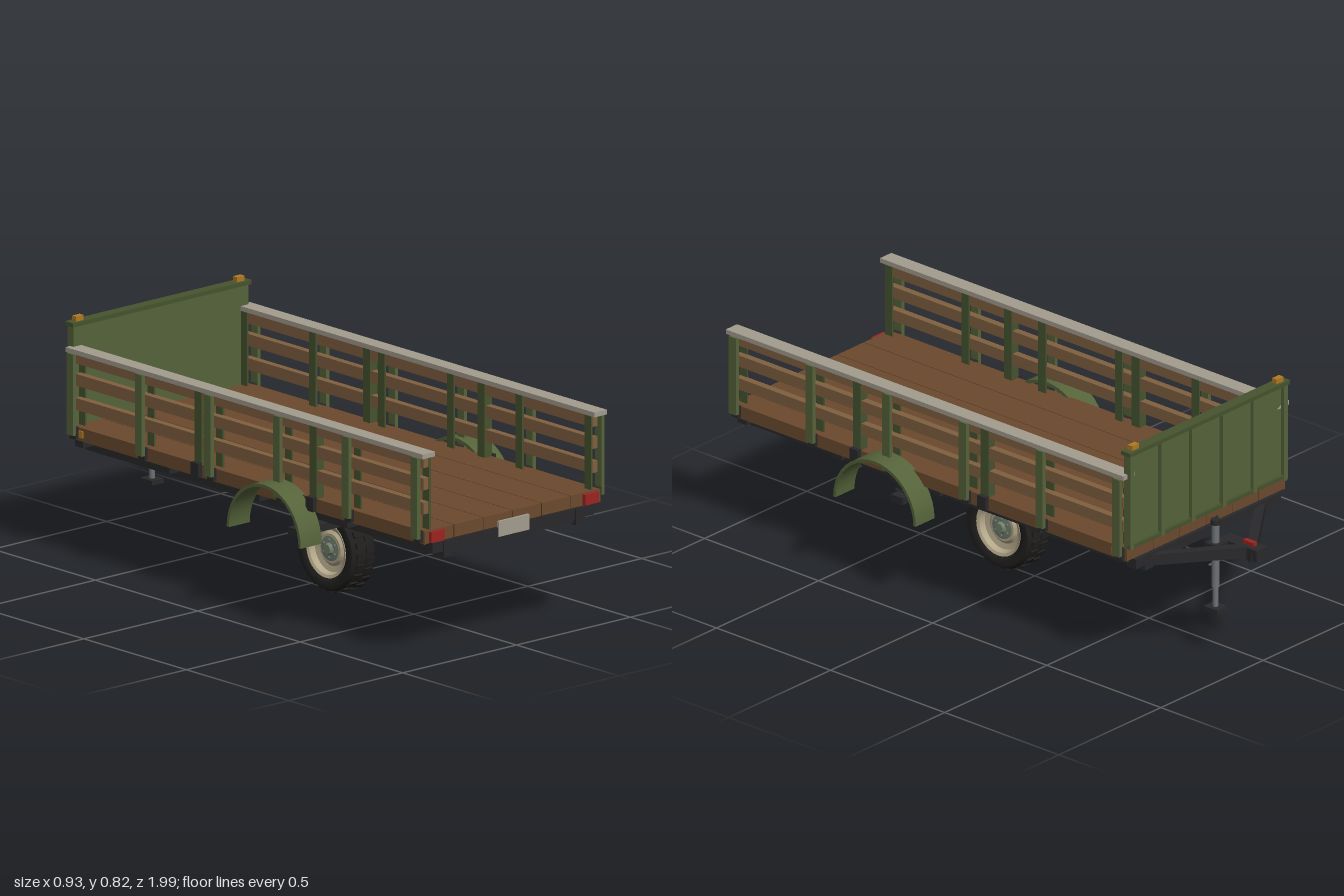
import * as THREE from 'three';
import { toCreasedNormals } from 'three/addons/utils/BufferGeometryUtils.js';

const mat = (color) => new THREE.MeshStandardMaterial({ color });
const green = mat(0x55633a), darkGreen = mat(0x46532f), wood = mat(0x6b4a2e), slatWood = mat(0x80603f);
const black = mat(0x29292b), rubber = mat(0x201f1e), capGrey = mat(0xa39d8f), cream = mat(0xb3a78a);
const red = mat(0x9c2420), amber = mat(0xb07a22), steel = mat(0x6e7276), hubGreen = mat(0x71806a), gap = mat(0x2c1f14);
const UP = new THREE.Vector3(0, 1, 0);

export function createModel() {
  const root = new THREE.Group();

  function add(name, geometry, material, x = 0, y = 0, z = 0, parent = root) {
    const mesh = new THREE.Mesh(geometry, material);
    mesh.name = name;
    mesh.position.set(x, y, z);
    parent.add(mesh);
    return mesh;
  }
  // box given by its limits on each axis
  const box = (name, m, x0, x1, y0, y1, z0, z1, parent) =>
    add(name, new THREE.BoxGeometry(Math.abs(x1 - x0), y1 - y0, z1 - z0), m,
      (x0 + x1) / 2, (y0 + y1) / 2, (z0 + z1) / 2, parent);
  // round bar or square beam between two points
  function beam(name, m, a, b, w, h = 0) {
    const p = new THREE.Vector3(...a), q = new THREE.Vector3(...b), len = p.distanceTo(q);
    const mesh = add(name, h ? new THREE.BoxGeometry(w, h, len) : new THREE.CylinderGeometry(w, w, len, 12), m);
    mesh.position.copy(p).add(q).multiplyScalar(0.5);
    if (h) mesh.lookAt(q);
    else mesh.quaternion.setFromUnitVectors(UP, q.sub(p).normalize());
    return mesh;
  }

  // Plank floor with thin dark seams
  box('floorCore', gap, -0.38, 0.38, 0.41, 0.45, -0.745, 0.978);
  for (let i = 0; i < 6; i++) {
    const x = -0.385 + i * 0.1283;
    box('floorPlank', wood, x + 0.0015, x + 0.1268, 0.412, 0.455, -0.75, 0.98);
  }
  for (const s of [-1, 1]) box('floorSideBoard', wood, s * 0.379, s * 0.386, 0.41, 0.455, -0.75, 0.98);

  // Chassis rails and cross members
  for (const s of [-1, 1]) box('chassisRail', black, s * 0.27, s * 0.31, 0.355, 0.41, -0.76, 0.99);
  for (const z of [-0.74, -0.32, 0.12, 0.55, 0.965])
    box('crossMember', black, -0.355, 0.355, 0.375, 0.41, z - 0.02, z + 0.02);
  box('rearLowerCrossMember', black, -0.27, 0.27, 0.362, 0.376, 0.945, 0.98);

  // Axle beam hung from the rails
  box('axle', black, -0.347, 0.347, 0.29, 0.315, 0.27, 0.32);
  for (const s of [-1, 1]) {
    box('axleHanger', black, s * 0.282, s * 0.305, 0.31, 0.36, 0.25, 0.335);
    box('axleClamp', black, s * 0.275, s * 0.312, 0.295, 0.318, 0.25, 0.335);
  }

  // Slatted sides
  for (const s of [-1, 1]) {
    const side = new THREE.Group();
    side.name = s > 0 ? 'leftSide' : 'rightSide';
    root.add(side);
    for (const [y0, y1] of [[0.51, 0.55], [0.592, 0.632], [0.667, 0.706]])
      box('slat', slatWood, s * 0.357, s * 0.382, y0, y1, -0.73, 0.97, side);
    box('topCap', capGrey, s * 0.35, s * 0.405, 0.706, 0.722, -0.75, 0.992, side);
    for (let i = 0; i < 6; i++) {
      const z = 0.957 - i * 0.336;
      box('outerStake', green, s * 0.398, s * 0.412, 0.43, 0.706, z - 0.016, z + 0.016, side);
      box('stakeBracket', black, s * 0.384, s * 0.4, 0.415, 0.456, z - 0.015, z + 0.015, side);
      box('innerStake', darkGreen, s * 0.352, s * 0.359, 0.455, 0.706, z - 0.016, z + 0.016, side);
    }
    for (const z of [0.435, -0.125]) {
      box('middlePost', darkGreen, s * 0.353, s * 0.386, 0.455, 0.706, z - 0.017, z + 0.017, side);
      box('postBracket', black, s * 0.384, s * 0.402, 0.413, 0.46, z - 0.018, z + 0.018, side);
    }
    box('sideReflector', amber, s * 0.385, s * 0.39, 0.422, 0.446, -0.705, -0.685, side);
  }

  // Headboard with ribs, top rail and marker lamps
  box('headboard', green, -0.385, 0.385, 0.455, 0.795, -0.75, -0.735);
  box('headboardRail', darkGreen, -0.392, 0.392, 0.79, 0.804, -0.768, -0.728);
  box('headboardSill', darkGreen, -0.385, 0.385, 0.455, 0.468, -0.762, -0.748);
  for (let i = 0; i < 6; i++) {
    const x = -0.376 + i * 0.1504;
    box('headboardRib', green, x - 0.009, x + 0.009, 0.455, 0.79, -0.764, -0.748);
  }
  for (const s of [-1, 1]) box('markerLamp', amber, s * 0.337, s * 0.37, 0.804, 0.821, -0.758, -0.738);

  // Tail lamps and plate
  for (const s of [-1, 1]) box('tailLamp', red, s * 0.308, s * 0.367, 0.415, 0.451, 0.975, 0.994);
  box('plate', capGrey, -0.068, 0.067, 0.379, 0.431, 0.98, 0.99);

  // Arched fenders
  const arch = new THREE.Shape();
  for (let i = 0; i <= 20; i++) {
    const a = Math.PI * i / 20;
    arch.lineTo(0.181 * Math.cos(a), 0.18 * Math.sin(a));
    if (i === 0) arch.curves.length = 0, arch.moveTo(0.181, 0);
  }
  for (let i = 20; i >= 0; i--) {
    const a = Math.PI * i / 20;
    arch.lineTo(0.17 * Math.cos(a), 0.169 * Math.sin(a));
  }
  const fenderGeometry = toCreasedNormals(
    new THREE.ExtrudeGeometry(arch, { depth: 0.092, bevelEnabled: false }).rotateY(Math.PI / 2).translate(-0.046, 0, 0), 0.5);
  for (const s of [-1, 1]) {
    add('fender', fenderGeometry, green, s * 0.421, 0.304, 0.285);
    box('fenderBracket', black, s * 0.3, s * 0.38, 0.385, 0.405, 0.27, 0.3);
  }

  // Central wheel, turned around the x axis
  const wheel = new THREE.Group();
  wheel.name = 'wheel';
  wheel.position.set(0, 0.15, 0.12);
  root.add(wheel);
  const lathe = (name, m, pts) => add(name, toCreasedNormals(
    new THREE.LatheGeometry(pts.map(p => new THREE.Vector2(...p)), 40).rotateZ(-Math.PI / 2), 0.6), m, 0, 0, 0, wheel);
  lathe('tyre', rubber, [[0.092, -0.04], [0.1, -0.047], [0.118, -0.052], [0.132, -0.05], [0.141, -0.036],
    [0.144, 0], [0.141, 0.036], [0.132, 0.05], [0.118, 0.052], [0.1, 0.047], [0.092, 0.04], [0.092, -0.04]]);
  lathe('rim', cream, [[0, -0.026], [0.05, -0.026], [0.06, -0.018], [0.08, -0.022], [0.086, -0.042], [0.096, -0.046],
    [0.096, 0.046], [0.086, 0.042], [0.08, 0.022], [0.06, 0.018], [0.05, 0.026], [0, 0.026]]);
  lathe('hub', hubGreen, [[0, -0.042], [0.016, -0.042], [0.02, -0.03], [0.042, -0.028], [0.042, 0.028],
    [0.02, 0.03], [0.016, 0.042], [0, 0.042]]);
  for (let i = 0; i < 24; i++) {
    const a = i * Math.PI / 12;
    for (const s of [-1, 1]) {
      const off = a + (s > 0 ? Math.PI / 24 : 0);
      const lug = add('treadBlock', new THREE.BoxGeometry(0.034, 0.012, 0.022), rubber,
        s * 0.02, 0.142 * Math.cos(off), 0.142 * Math.sin(off), wheel);
      lug.rotation.x = off;
    }
  }
  for (let i = 0; i < 6; i++) for (const s of [-1, 1]) {
    const a = i * Math.PI / 3;
    const nut = add('wheelNut', new THREE.CylinderGeometry(0.005, 0.005, 0.01, 6), steel,
      s * 0.031, 0.03 * Math.cos(a), 0.03 * Math.sin(a), wheel);
    nut.rotation.z = Math.PI / 2;
  }

  // Drawbar, coupler and safety chains
  for (const s of [-1, 1]) {
    beam('drawbarArm', black, [s * 0.272, 0.382, -0.745], [s * 0.008, 0.382, -0.945], 0.032, 0.038);
    beam('safetyChain', steel, [s * 0.02, 0.365, -0.895], [s * 0.045, 0.3, -0.805], 0.004);
  }
  box('coupler', black, -0.027, 0.027, 0.36, 0.4, -0.995, -0.83);
  const socket = add('couplerSocket', new THREE.CylinderGeometry(0.027, 0.03, 0.045, 20), black, 0, 0.378, -0.97);
  socket.scale.z = 0.95;
  box('couplerLatch', red, -0.009, 0.009, 0.4, 0.414, -0.965, -0.92);

  // Jack stand
  box('jackBracket', black, 0.02, 0.085, 0.362, 0.4, -0.87, -0.82);
  beam('jackTube', steel, [0.06, 0.24, -0.845], [0.06, 0.47, -0.845], 0.013);
  beam('jackLeg', steel, [0.06, 0.165, -0.845], [0.06, 0.26, -0.845], 0.0095);
  box('jackFoot', black, 0.034, 0.086, 0.155, 0.171, -0.874, -0.816);
  beam('jackCap', black, [0.06, 0.464, -0.845], [0.06, 0.482, -0.845], 0.016);
  beam('jackHandle', black, [0.06, 0.474, -0.845], [0.03, 0.474, -0.825], 0.005);

  return root;
}
